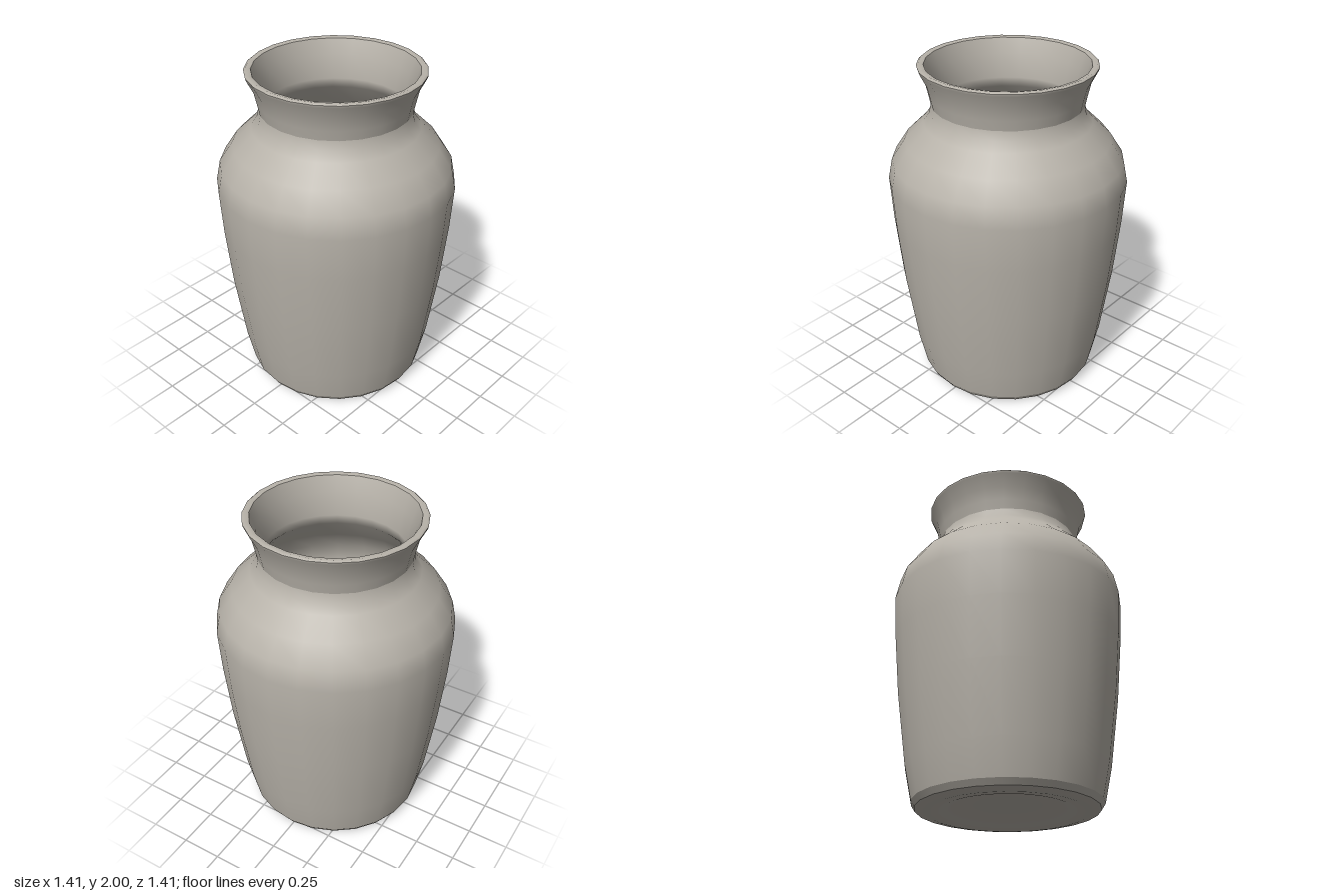
import * as THREE from 'three';

const SIDES = 24;

export function createModel() {
  const vase = new THREE.Group();
  vase.name = 'vase';
  const clay = new THREE.MeshStandardMaterial({ color: 0xb8b3aa });
  clay.name = 'warm grey clay';

  // Each part is a turned profile of [radius, height]; splitting parts keeps their edges crisp
  const turn = (name, profile) => {
    const points = profile.map(([r, y]) => new THREE.Vector2(r, y));
    const mesh = new THREE.Mesh(new THREE.LatheGeometry(points, SIDES), clay);
    mesh.name = name;
    vase.add(mesh);
  };

  // Underside with a shallow hollow, then the small bevel of the foot
  turn('underside', [[0, 0.05], [0.13, 0.05], [0.27, 0.04], [0.38, 0.01], [0.46, 0], [0.53, 0.015]]);
  turn('foot', [[0.53, 0.015], [0.552, 0.05]]);

  // Tapered body and rounded shoulder
  turn('body', [
    [0.552, 0.05], [0.597, 0.26], [0.656, 0.68], [0.69, 1.04], [0.705, 1.31],
    [0.68, 1.43], [0.6, 1.55], [0.49, 1.655], [0.452, 1.705], [0.44, 1.76],
  ]);

  // Flared neck and flat lip
  turn('neck', [[0.44, 1.76], [0.452, 1.82], [0.47, 1.9], [0.508, 1.975], [0.512, 1.99]]);
  turn('lip', [[0.512, 1.99], [0.5, 2], [0.472, 1.993]]);

  // Inner wall
  turn('innerWall', [
    [0.472, 1.993], [0.44, 1.9], [0.412, 1.76], [0.425, 1.7], [0.57, 1.54], [0.65, 1.42],
    [0.672, 1.31], [0.66, 1.04], [0.626, 0.68], [0.567, 0.26], [0.52, 0.1],
  ]);
  turn('innerFloor', [[0.52, 0.1], [0.45, 0.07], [0.26, 0.08], [0.12, 0.09], [0, 0.09]]);

  return vase;
}
